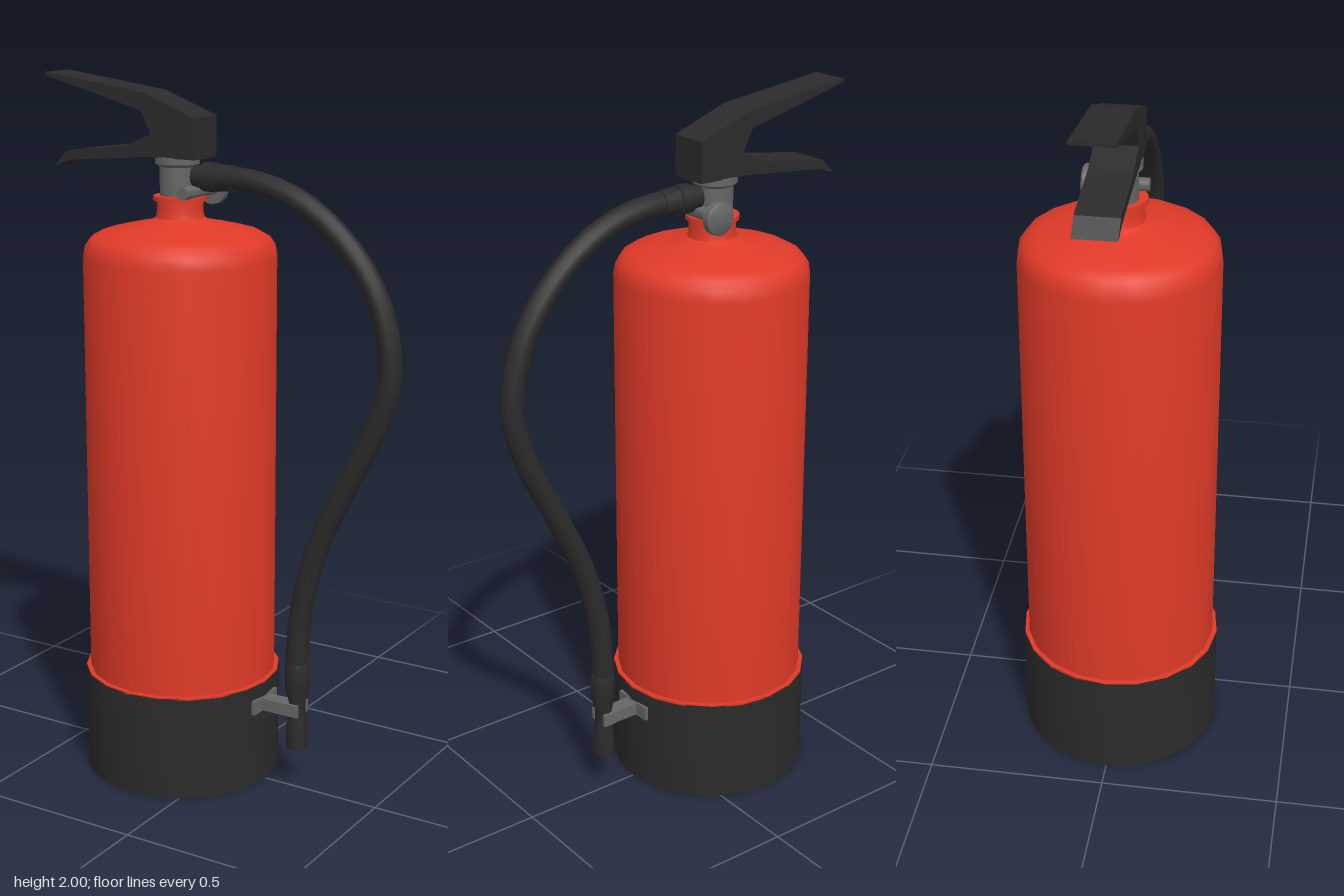
import * as THREE from 'three';
import { toCreasedNormals } from 'three/addons/utils/BufferGeometryUtils.js';

const mat = (color) => new THREE.MeshStandardMaterial({ color });
const CX = -0.142; // axis of the tank

export function createModel() {
  const group = new THREE.Group();
  const red = mat(0xe03a28), black = mat(0x2b2b2b), grey = mat(0x666666);

  const add = (name, geometry, material, x = 0, y = 0, z = 0) => {
    const mesh = new THREE.Mesh(geometry, material);
    mesh.name = name;
    mesh.position.set(x, y, z);
    group.add(mesh);
    return mesh;
  };
  // Turned part from [radius, height] pairs, bottom to top
  const turned = (profile, sides = 20) => toCreasedNormals(
    new THREE.LatheGeometry(profile.map(([r, y]) => new THREE.Vector2(r, y)), sides), 0.7);

  // Tank: lip over the base, straight wall, domed shoulder, neck with collar
  add('tank', turned([
    [0.283, 0.3], [0.283, 0.306], [0.27, 0.306], [0.27, 1.51], [0.265, 1.54], [0.25, 1.562],
    [0.22, 1.578], [0.15, 1.595], [0.085, 1.608], [0.068, 1.618], [0.064, 1.635],
    [0.064, 1.665], [0.074, 1.665], [0.074, 1.678], [0, 1.678],
  ]), red, CX);
  add('base', turned([[0, 0], [0.283, 0], [0.283, 0.303], [0.26, 0.303]]), black, CX);

  // Valve on the neck, with a flange under the handle
  add('valve', turned([
    [0.05, 1.67], [0.05, 1.757], [0.062, 1.765], [0.062, 1.785], [0, 1.785],
  ], 16), grey, CX - 0.008);

  // Cross pin with a round knob at the back
  const pin = turned([
    [0, -0.07], [0.018, -0.07], [0.018, 0.08], [0.045, 0.08], [0.045, 0.1], [0.038, 0.105], [0, 0.105],
  ], 14);
  pin.rotateX(-Math.PI / 2);
  add('valveKnob', pin, grey, -0.09, 1.692, 0);

  // Squeeze handle: upper lever, lower grip and their joining block
  const outline = [
    [-0.553, 2.0], [-0.553, 1.991], [-0.232, 1.908], [-0.2, 1.845], [-0.28, 1.812], [-0.485, 1.784],
    [-0.527, 1.742], [-0.475, 1.76], [-0.215, 1.783], [-0.06, 1.783], [-0.06, 1.895], [-0.225, 1.957],
  ];
  const handleShape = new THREE.Shape(outline.map(([x, y]) => new THREE.Vector2(x, y)));
  add('handle', new THREE.ExtrudeGeometry(handleShape, { depth: 0.114, bevelEnabled: false }),
    black, 0, 0, -0.057);

  // Hose from the valve down to the nozzle
  const path = new THREE.CatmullRomCurve3([
    [-0.06, 1.733], [0.03, 1.735], [0.14, 1.722], [0.26, 1.675], [0.39, 1.57], [0.48, 1.43], [0.515, 1.25],
    [0.475, 1.1], [0.385, 0.915], [0.305, 0.74], [0.255, 0.545], [0.24, 0.36],
  ].map(([x, y]) => new THREE.Vector3(x, y, 0)));
  add('hose', new THREE.TubeGeometry(path, 32, 0.032, 12), black);

  const fitting = turned([
    [0, -0.09], [0.032, -0.09], [0.032, -0.06], [0.04, -0.06], [0.04, -0.018],
    [0.037, -0.018], [0.035, 0.035], [0, 0.035],
  ], 14);
  fitting.rotateZ(-Math.PI / 2);
  add('hoseFitting', fitting, black, 0, 1.734, 0);

  add('nozzle', turned([
    [0, 0.125], [0.031, 0.125], [0.03, 0.2], [0.024, 0.23], [0.024, 0.265],
    [0.036, 0.31], [0.036, 0.37], [0.032, 0.385], [0, 0.385],
  ], 14), black, 0.245);

  // Clip holding the nozzle against the base
  add('clipPlate', new THREE.BoxGeometry(0.03, 0.042, 0.126), grey, 0.127, 0.24, 0);
  add('clipArm', new THREE.BoxGeometry(0.1, 0.036, 0.046), grey, 0.185, 0.24, 0);
  for (const s of [-1, 1]) {
    add('clipJaw', new THREE.BoxGeometry(0.04, 0.036, 0.01), grey, 0.242, 0.245, s * 0.027);
  }
  return group;
}
